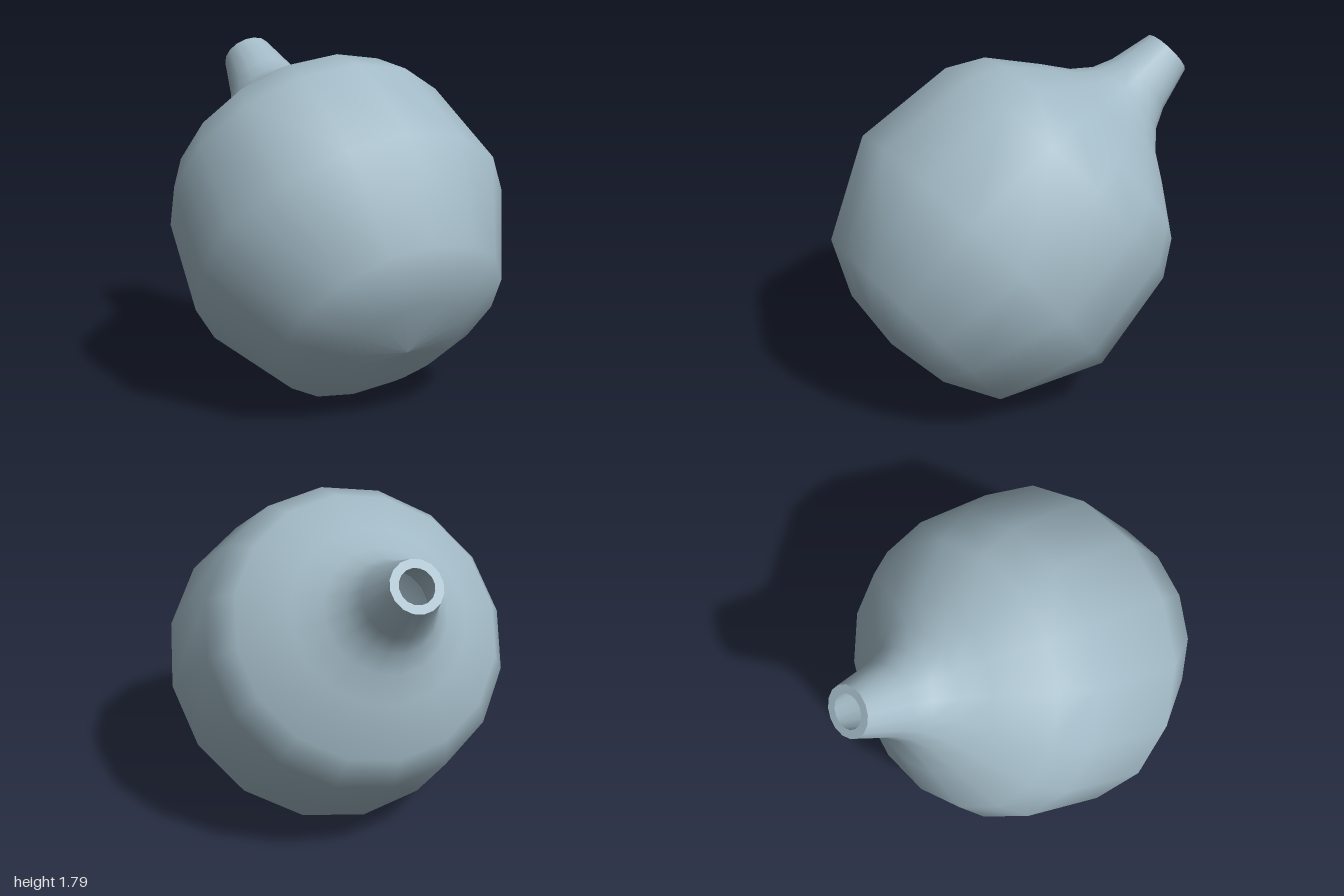
import * as THREE from 'three';

const SIDES = 16;

// Revolve a [radius, height] profile around the axis of the flask
function revolve(name, profile, material) {
  const points = profile.map(([r, h]) => new THREE.Vector2(r, h));
  const mesh = new THREE.Mesh(new THREE.LatheGeometry(points, SIDES), material);
  mesh.name = name;
  return mesh;
}

export function createModel() {
  const glaze = new THREE.MeshStandardMaterial({ color: 0xa3bbc7 });
  glaze.name = 'pale blue grey';

  // Round body flowing into a narrow neck
  const outer = [
    [0, 0], [0.335, 0.043], [0.615, 0.18], [0.873, 0.68], [0.806, 1.228],
    [0.697, 1.412], [0.457, 1.6], [0.323, 1.696], [0.24, 1.792],
    [0.192, 1.9], [0.135, 2.135],
  ];
  // Hollow inside, listed from the mouth down so it faces inwards
  const inner = [
    [0.09, 2.135], [0.145, 1.9], [0.19, 1.775], [0.27, 1.67], [0.41, 1.56],
    [0.65, 1.38], [0.75, 1.21], [0.815, 0.69], [0.57, 0.225], [0.31, 0.095], [0, 0.055],
  ];

  const flask = new THREE.Group();
  flask.name = 'flask';
  flask.add(
    revolve('bodyAndNeck', outer, glaze),
    revolve('mouthRim', [[0.135, 2.135], [0.09, 2.135]], glaze),
    revolve('hollowInside', inner, glaze),
  );

  // Lean the flask so that the neck points up and to the back
  flask.rotation.x = -Math.atan2(0.7907, 0.6124);
  flask.position.set(0, 0.378, 0.768);

  const model = new THREE.Group();
  model.name = 'tiltedFlask';
  model.add(flask);
  return model;
}
